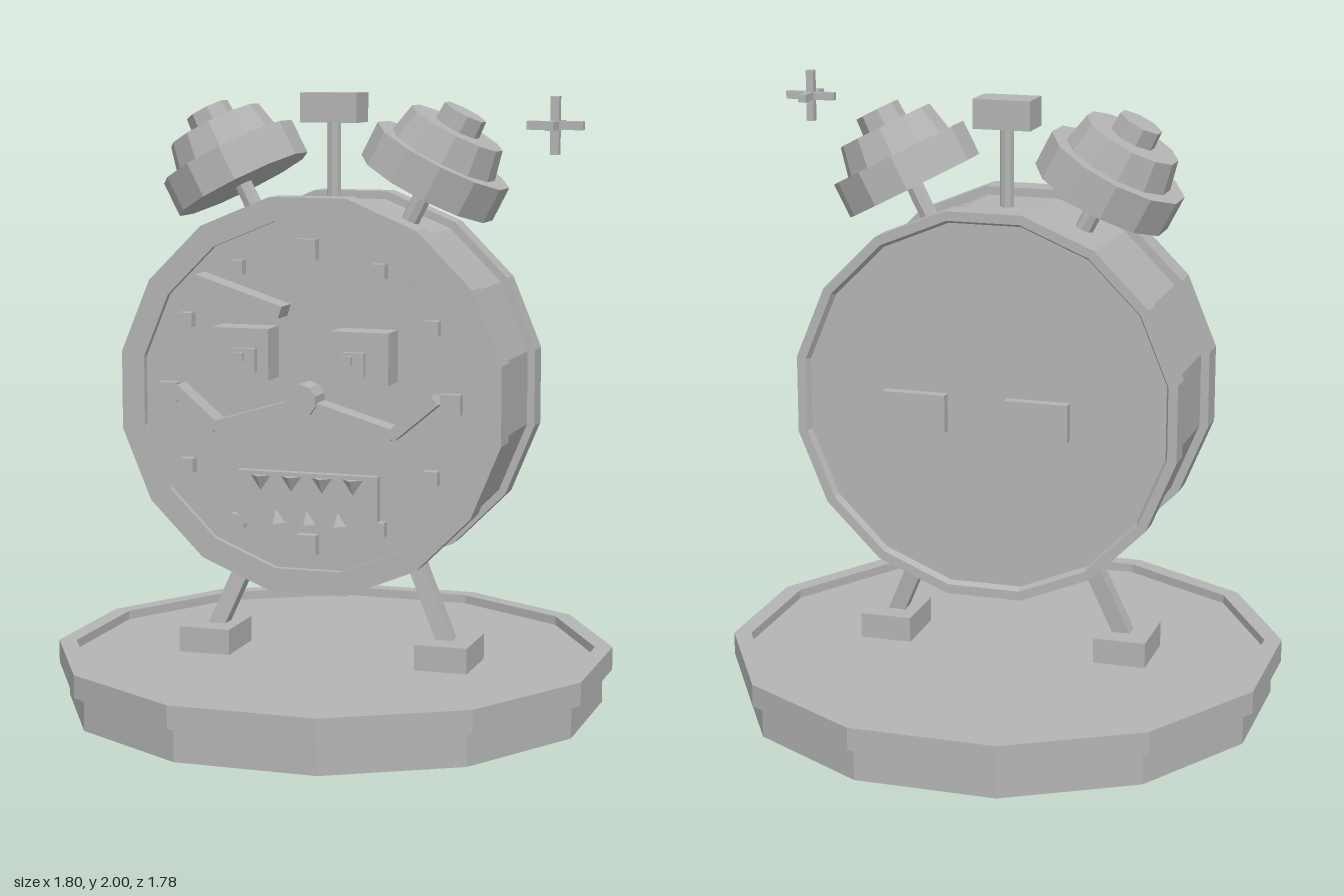
import * as THREE from 'three';

const grey = new THREE.MeshStandardMaterial({ color: 0xb4b4b4, flatShading: true });
grey.name = 'plain grey';

export function createModel() {
  const root = new THREE.Group();
  root.name = 'alarmClock';
  const clock = new THREE.Group();
  clock.name = 'clock';
  clock.position.x = -0.012;
  root.add(clock);

  const add = (name, geometry, x = 0, y = 0, z = 0, parent = clock) => {
    const mesh = new THREE.Mesh(geometry, grey);
    mesh.name = name;
    mesh.position.set(x, y, z);
    parent.add(mesh);
    return mesh;
  };
  const box = (name, w, h, d, x, y, z, parent) =>
    add(name, new THREE.BoxGeometry(w, h, d), x, y, z, parent);

  // Faceted solid of revolution; profile gives [flat-to-flat half width, height]
  const turned = (profile, sides) => new THREE.LatheGeometry(
    profile.map(([r, h]) => new THREE.Vector2(r / Math.cos(Math.PI / sides), h)),
    sides, Math.PI / sides);

  // Square bar between two points
  const bar = (name, a, b, width, depth) => {
    const from = new THREE.Vector3(...a), to = new THREE.Vector3(...b);
    const dir = to.clone().sub(from);
    const mid = from.clone().add(to).multiplyScalar(0.5);
    const mesh = box(name, width, dir.length(), depth, mid.x, mid.y, mid.z);
    mesh.quaternion.setFromUnitVectors(new THREE.Vector3(0, 1, 0), dir.normalize());
    return mesh;
  };

  // Round stand with a raised lip
  add('stand', turned([
    [0, 0], [0.857, 0], [0.857, 0.11], [0.888, 0.11], [0.888, 0.185],
    [0.832, 0.185], [0.832, 0.155], [0, 0.155],
  ], 12));

  // Clock case: back rim, drum, front rim and recessed dial
  const caseGeometry = turned([
    [0, -0.235], [0.59, -0.235], [0.6, -0.257], [0.63, -0.257], [0.63, -0.175],
    [0.605, -0.175], [0.605, 0.178], [0.633, 0.178], [0.633, 0.273],
    [0.556, 0.273], [0.556, 0.25], [0, 0.25],
  ], 16).rotateX(Math.PI / 2);
  const cy = 1.045;
  add('case', caseGeometry, 0, cy, 0);

  // Hour markers
  for (let i = 0; i < 12; i++) {
    const a = i * Math.PI / 6;
    const size = i % 3 === 0 ? 0.064 : 0.046;
    box('hourMarker', size, size, 0.05, 0.472 * Math.sin(a), cy + 0.472 * Math.cos(a), 0.261);
  }

  // Nose
  add('nose', new THREE.CylinderGeometry(0.053, 0.053, 0.1, 10).rotateX(Math.PI / 2), 0, cy, 0.295);

  for (const s of [-1, 1]) {
    // Eyes; both glints sit on the same side of the pupil
    box('eye', 0.19, 0.164, 0.11, s * 0.197, 1.188, 0.297);
    box('pupil', 0.078, 0.075, 0.04, s * 0.179, 1.17, 0.352);
    box('glint', 0.028, 0.028, 0.02, s * 0.179 - 0.012, 1.182, 0.376);

    // Slanted brows
    const brow = box('brow', 0.305, 0.04, 0.095, s * 0.213, 1.368, 0.292);
    brow.rotation.z = s * 0.314;

    // Two-piece moustache
    bar('moustacheInner', [s * 0.03, 1.025, 0.288], [s * 0.297, 0.947, 0.288], 0.036, 0.08);
    bar('moustacheOuter', [s * 0.29, 0.943, 0.288], [s * 0.433, 1.063, 0.288], 0.036, 0.08);

    // Legs and feet
    bar('leg', [s * 0.41, 0.2, 0.036], [s * 0.235, 0.6, -0.005], 0.054, 0.054);
    box('foot', 0.175, 0.085, 0.217, s * 0.406, 0.197, 0.037);

    // Winding keys on the back
    add('keyShaft', new THREE.CylinderGeometry(0.032, 0.032, 0.1, 8).rotateX(Math.PI / 2),
      s * 0.2, cy, -0.28);
    box('keyPlate', 0.205, 0.122, 0.034, s * 0.2, cy, -0.336);

    // Tilted bell on its stem
    const bell = new THREE.Group();
    bell.name = 'bell';
    bell.position.set(s * 0.312, 1.7, 0);
    bell.rotation.z = -s * 0.48;
    clock.add(bell);
    add('bellBody', turned([
      [0, 0], [0.226, 0], [0.226, 0.118], [0.176, 0.118], [0.155, 0.215], [0, 0.215],
    ], 12), 0, 0, 0, bell);
    add('bellCap', turned([[0, 0.2], [0.072, 0.2], [0.068, 0.272], [0, 0.272]], 8), 0, 0, 0, bell);
    add('bellStem', new THREE.CylinderGeometry(0.03, 0.03, 0.24, 8), 0, -0.1, 0, bell);
  }

  // Mouth with pointed teeth
  box('mouth', 0.47, 0.174, 0.04, 0, 0.717, 0.262);
  for (let i = 0; i < 4; i++) {
    const tooth = add('upperTooth', new THREE.ConeGeometry(0.048, 0.07, 4),
      (i - 1.5) * 0.103, 0.757, 0.268);
    tooth.rotation.z = Math.PI;
  }
  for (let i = -1; i <= 1; i++) {
    add('lowerTooth', new THREE.ConeGeometry(0.044, 0.065, 4), i * 0.103, 0.673, 0.268);
  }

  // Hammer between the bells
  add('hammerStem', new THREE.CylinderGeometry(0.023, 0.023, 0.32, 8), 0, 1.76, 0);
  box('hammerHead', 0.19, 0.095, 0.126, 0, 1.9525, 0);

  // Floating three-way spark
  const spark = new THREE.Group();
  spark.name = 'spark';
  spark.position.set(0.81, 1.915, 0.398);
  root.add(spark);
  for (let axis = 0; axis < 3; axis++) {
    const size = [0.026, 0.026, 0.026];
    size[axis] = 0.172;
    box('sparkBar', ...size, 0, 0, 0, spark);
  }

  return root;
}
